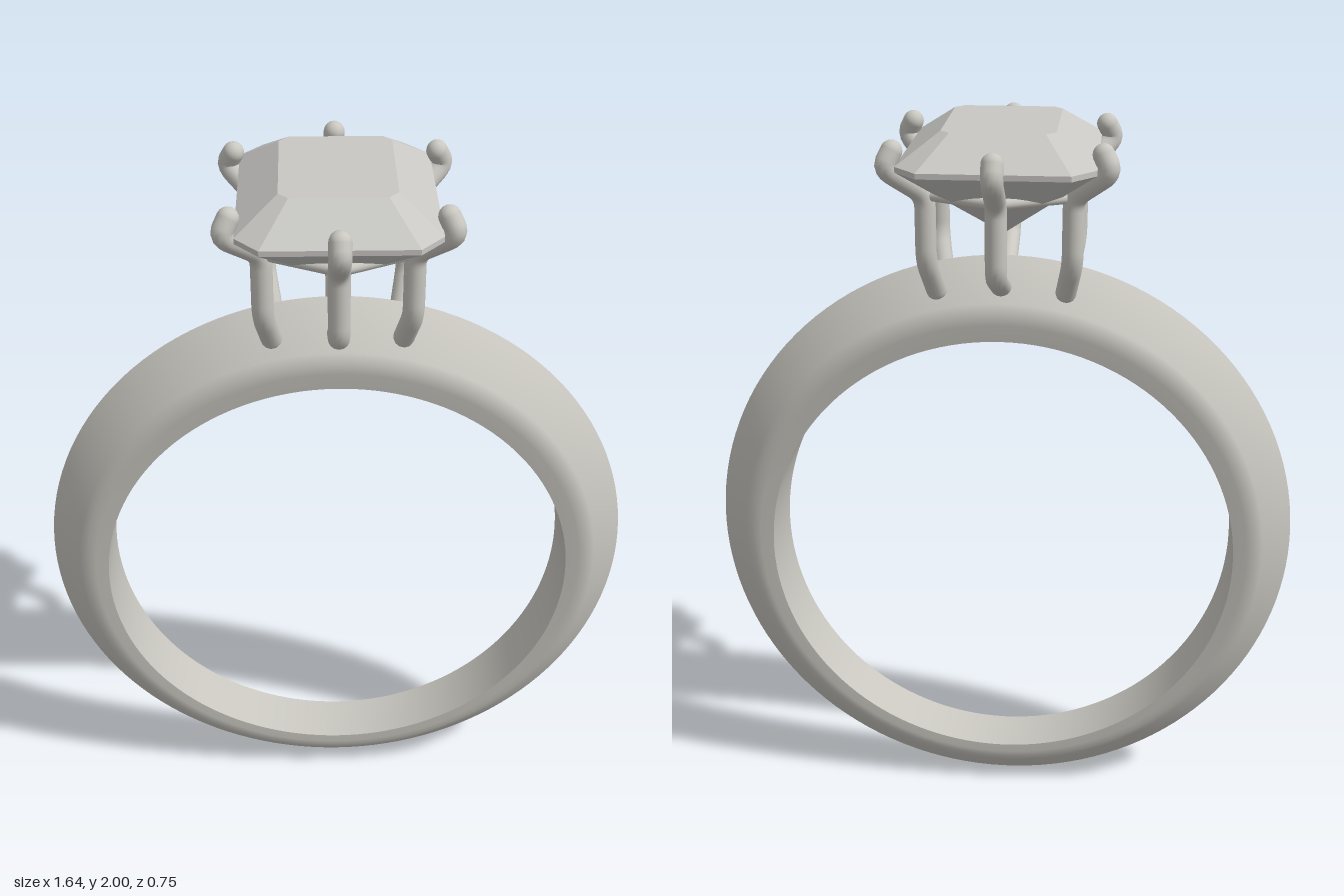
import * as THREE from 'three';
import { toCreasedNormals } from 'three/addons/utils/BufferGeometryUtils.js';

const metal = new THREE.MeshStandardMaterial({ color: 0xc9c7c0 });
metal.name = 'metal';
const stone = new THREE.MeshStandardMaterial({ color: 0xc8c7c4 });
stone.name = 'stone';

// Skin a list of closed rings of points; returns unindexed triangles
function loft(rings, closeEnds) {
  const pos = [];
  const n = rings[0].length;
  const last = closeEnds ? rings.length : rings.length - 1;
  for (let j = 0; j < last; j++) {
    const lo = rings[j], hi = rings[(j + 1) % rings.length];
    for (let i = 0; i < n; i++) {
      const k = (i + 1) % n;
      for (const tri of [[lo[i], lo[k], hi[k]], [lo[i], hi[k], hi[i]]]) {
        const [a, b, c] = tri;
        if (a.equals(b) || b.equals(c) || a.equals(c)) continue;
        for (const p of tri) pos.push(p.x, p.y, p.z);
      }
    }
  }
  const g = new THREE.BufferGeometry();
  g.setAttribute('position', new THREE.Float32BufferAttribute(pos, 3));
  g.computeVertexNormals();
  return g;
}

function addMesh(parent, name, geometry, material) {
  const mesh = new THREE.Mesh(geometry, material);
  mesh.name = name;
  parent.add(mesh);
  return mesh;
}

// Knife-edge band: eccentric circles, widening towards the top
function makeBand() {
  const half = [ // radius, centre height, share of the half width
    [0.655, 0.785, 0.98], [0.69, 0.796, 1], [0.713, 0.803, 1],
    [0.735, 0.807, 0.89], [0.82, 0.82, 0],
  ];
  const back = half.slice(0, -1).reverse().map(([r, c, w]) => [r, c, -w]);
  const rings = [...half, ...back].map(([r, c, share]) =>
    Array.from({ length: 128 }, (_, i) => {
      const a = (i / 128) * Math.PI * 2;
      const y = c + r * Math.cos(a);
      return new THREE.Vector3(r * Math.sin(a), y, share * (0.073 + 0.045 * y));
    }));
  return toCreasedNormals(loft(rings, true), 0.75);
}

// Step-cut stone with clipped corners
function makeGem() {
  const ring = (x, z, cx, cz, y) => [
    [-cx, z], [cx, z], [x, cz], [x, -cz], [cx, -z], [-cx, -z], [-x, -cz], [-x, cz],
  ].map(([px, pz]) => new THREE.Vector3(px, y, pz));
  return loft([
    ring(0, 0, 0, 0, 1.7),
    ring(0.15, 0.2, 0.115, 0.16, 1.83),
    ring(0.25, 0.32, 0.19, 0.25, 1.912),
    ring(0.25, 0.32, 0.19, 0.25, 1.926),
    ring(0.145, 0.19, 0.12, 0.162, 2),
    ring(0, 0, 0, 0, 2),
  ], false);
}

// Claw: rounded wire through the given points with ball ends
function makeProng(name, points) {
  const g = new THREE.Group();
  g.name = name;
  const pts = points.map((p) => new THREE.Vector3(...p));
  const path = new THREE.CurvePath();
  let from = pts[0];
  for (let i = 1; i < pts.length - 1; i++) {
    // Soften each bend with a short curve
    const bend = (to) => pts[i].clone().add(
      to.clone().sub(pts[i]).setLength(Math.min(0.035, to.distanceTo(pts[i]) * 0.45)));
    const before = bend(pts[i - 1]), after = bend(pts[i + 1]);
    path.add(new THREE.LineCurve3(from, before));
    path.add(new THREE.QuadraticBezierCurve3(before, pts[i], after));
    from = after;
  }
  path.add(new THREE.LineCurve3(from, pts[pts.length - 1]));
  addMesh(g, 'wire', new THREE.TubeGeometry(path, 48, 0.028, 16), metal);
  for (const p of [pts[0], pts[pts.length - 1]]) {
    addMesh(g, 'roundEnd', new THREE.SphereGeometry(0.028, 16, 12), metal).position.copy(p);
  }
  return g;
}

export function createModel() {
  const model = new THREE.Group();
  model.name = 'ring';
  addMesh(model, 'band', makeBand(), metal);
  addMesh(model, 'gem', makeGem(), stone);

  // Six claws: one at each end, four at the corners
  const setting = new THREE.Group();
  setting.name = 'setting';
  model.add(setting);
  for (const s of [1, -1]) {
    setting.add(makeProng('endProng', [
      [0, 1.58, s * 0.09], [0, 1.645, s * 0.24], [0, 1.835, s * 0.24],
      [0, 1.915, s * 0.355], [0, 1.955, s * 0.335],
    ]));
    for (const t of [1, -1]) {
      setting.add(makeProng('cornerProng', [
        [t * 0.172, 1.565, s * 0.085], [t * 0.19, 1.66, s * 0.145], [t * 0.19, 1.835, s * 0.145],
        [t * 0.285, 1.915, s * 0.217], [t * 0.264, 1.955, s * 0.2],
      ]));
    }
  }

  // Gallery rail joining the claws under the stone
  const corners = [[0, 0.24], [0.19, 0.145], [0.19, -0.145], [0, -0.24], [-0.19, -0.145], [-0.19, 0.145]]
    .map(([x, z]) => new THREE.Vector3(x, 1.833, z));
  corners.forEach((p, i) => {
    const line = new THREE.LineCurve3(p, corners[(i + 1) % 6]);
    addMesh(setting, 'galleryRail', new THREE.TubeGeometry(line, 1, 0.014, 12), metal);
  });
  return model;
}
